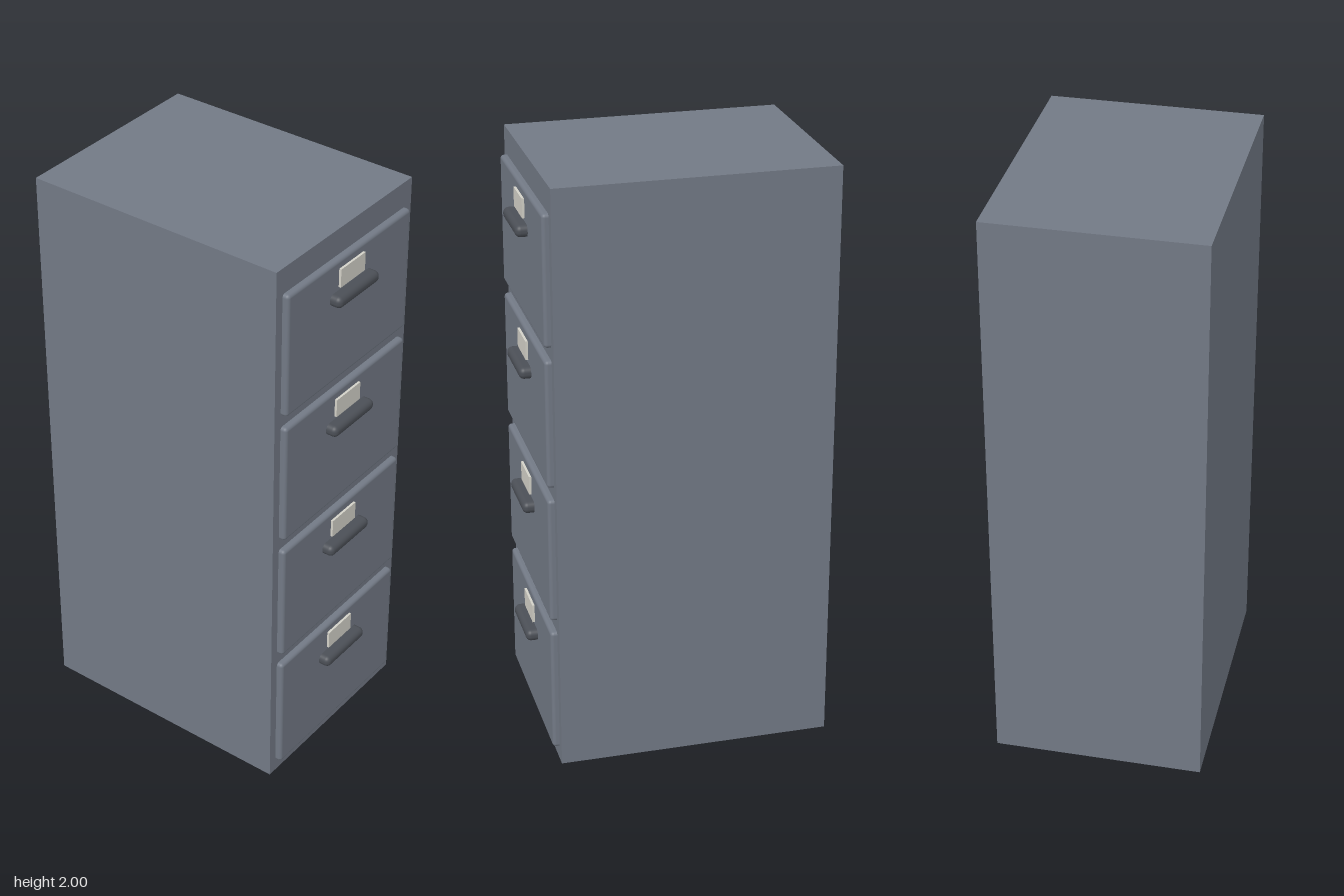
import * as THREE from 'three';
import { RoundedBoxGeometry } from 'three/addons/geometries/RoundedBoxGeometry.js';

const DRAWERS = 4;
const FIRST_Y = 0.263; // centre of the lowest drawer
const STEP_Y = 0.477;

function material(name, color) {
  const m = new THREE.MeshStandardMaterial({ color });
  m.name = name;
  return m;
}

function part(name, geometry, mat, x, y, z) {
  const mesh = new THREE.Mesh(geometry, mat);
  mesh.name = name;
  mesh.position.set(x, y, z);
  return mesh;
}

export function createModel() {
  const steel = material('grey steel', 0x727985);
  const dark = material('dark handle', 0x4b4f56);
  const card = material('label card', 0xd3d1c8);

  const cabinet = new THREE.Group();
  cabinet.name = 'filingCabinet';

  // Plain steel carcass
  cabinet.add(part('body', new THREE.BoxGeometry(0.706, 2, 0.92), steel, 0, 1, -0.03));

  // Shared drawer geometries
  const frontGeo = new RoundedBoxGeometry(0.644, 0.434, 0.044, 3, 0.012);
  const handleGeo = new RoundedBoxGeometry(0.216, 0.04, 0.06, 4, 0.018);
  const labelGeo = new THREE.BoxGeometry(0.128, 0.064, 0.009);

  // Each drawer has a rounded front, a pull handle and a label above it
  for (let i = 0; i < DRAWERS; i++) {
    const drawer = new THREE.Group();
    drawer.name = `drawer${i + 1}`;
    drawer.position.y = FIRST_Y + i * STEP_Y;
    drawer.add(
      part('drawerFront', frontGeo, steel, 0, 0, 0.43),
      part('handle', handleGeo, dark, 0, 0.092, 0.46),
      part('label', labelGeo, card, 0, 0.155, 0.4555)
    );
    cabinet.add(drawer);
  }
  return cabinet;
}
